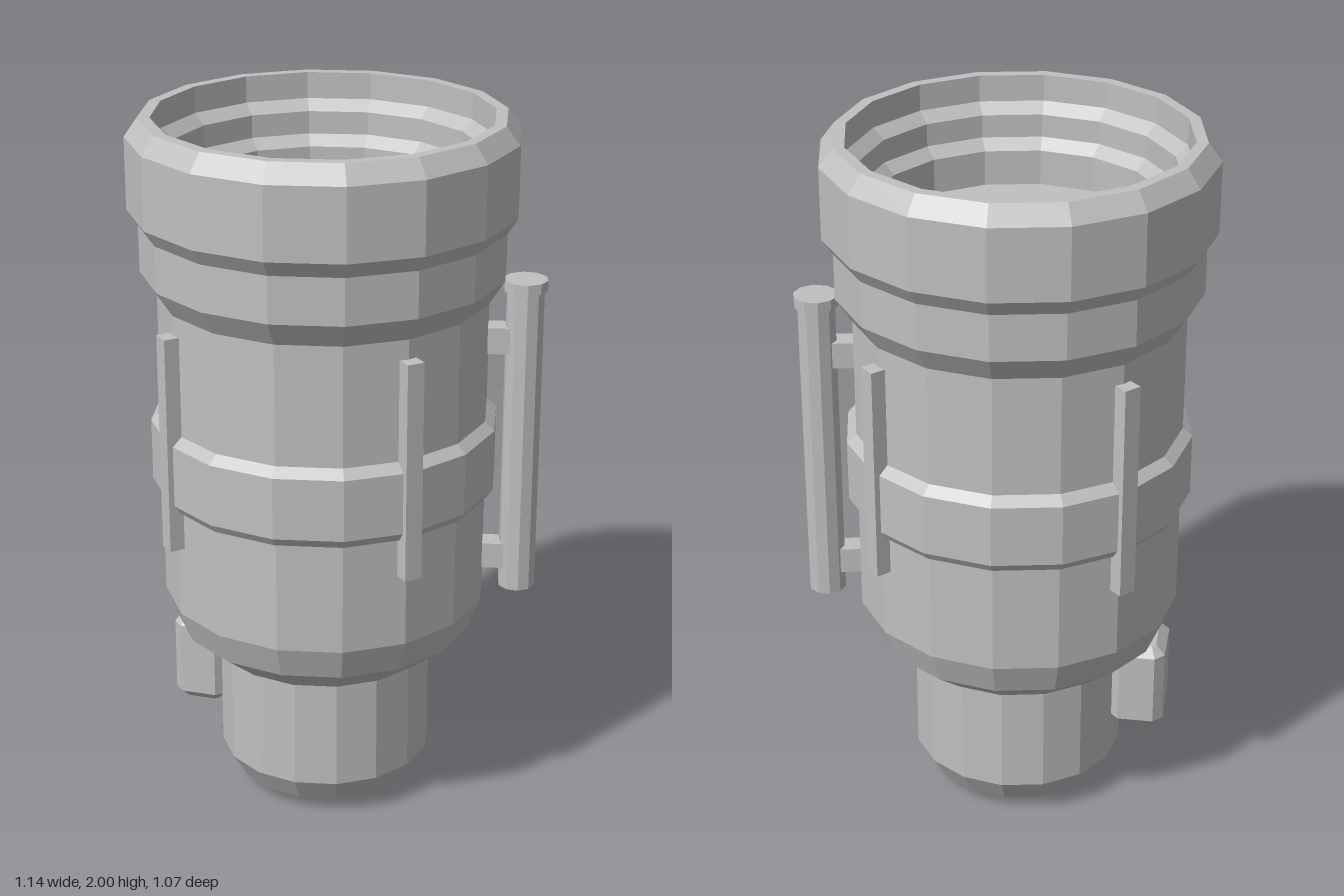
import * as THREE from 'three';

const AXIS_X = -0.035; // the main barrel sits slightly off the overall centre

export function createModel() {
  const grey = new THREE.MeshStandardMaterial({ color: 0xc0c0c0 });
  grey.name = 'grey';
  grey.flatShading = true;

  const model = new THREE.Group();
  model.name = 'model';
  const add = (parent, name, geometry, x = 0, y = 0, z = 0) => {
    const mesh = new THREE.Mesh(geometry, grey);
    mesh.name = name;
    mesh.position.set(x, y, z);
    parent.add(mesh);
    return mesh;
  };
  const lathe = (points) =>
    new THREE.LatheGeometry(points.map(([r, y]) => new THREE.Vector2(r, y)), 16);

  const barrel = new THREE.Group();
  barrel.name = 'barrel';
  barrel.position.x = AXIS_X;
  model.add(barrel);

  // Outer wall, rim and stepped hollow mouth in one profile
  add(barrel, 'body', lathe([
    [0, 0], [0.19, 0.005], [0.26, 0.04], [0.305, 0.115], [0.305, 0.44],
    [0.32, 0.44], [0.425, 0.525], [0.46, 0.62], [0.46, 1.505],
    [0.505, 1.575], [0.505, 1.705], [0.535, 1.75], [0.535, 1.95], [0.497, 2],
    [0.465, 2], [0.465, 1.925], [0.432, 1.895], [0.432, 1.83],
    [0.4, 1.8], [0.4, 1.7], [0, 1.7],
  ]));

  // Raised band round the middle
  add(barrel, 'middleBand', lathe([
    [0.45, 0.94], [0.47, 0.94], [0.487, 0.965], [0.487, 1.14], [0.46, 1.165], [0.45, 1.165],
  ]));

  // Four upright ribs on the diagonals
  for (let i = 0; i < 4; i++) {
    const a = Math.PI / 4 + (i * Math.PI) / 2;
    const rib = add(barrel, 'rib', new THREE.BoxGeometry(0.05, 0.62, 0.07),
      Math.sin(a) * 0.463, 1.14, Math.cos(a) * 0.463);
    rib.rotation.y = a;
  }

  // Capped side tube with two brackets
  const tube = new THREE.Group();
  tube.name = 'sideTube';
  tube.position.set(0.504, 0, -0.113);
  model.add(tube);
  const rod = (r, h) => new THREE.CylinderGeometry(r, r, h, 10).rotateY(Math.PI / 2);
  add(tube, 'tubeRod', rod(0.053, 0.9), 0, 1.08, 0);
  add(tube, 'tubeCap', rod(0.062, 0.03), 0, 1.535, 0);
  for (const y of [0.728, 1.378]) {
    const bracket = add(tube, 'tubeBracket', new THREE.BoxGeometry(0.1, 0.075, 0.065), -0.07, y, 0.014);
    bracket.rotation.y = Math.PI / 16;
  }

  // Bevelled block low on the other side
  const hx = 0.078, hz = 0.1, c = 0.027;
  const outline = new THREE.Shape([
    [hx, -hz + c], [hx, hz - c], [hx - c, hz], [-hx + c, hz],
    [-hx, hz - c], [-hx, -hz + c], [-hx + c, -hz], [hx - c, -hz],
  ].map(([x, y]) => new THREE.Vector2(x, y)));
  const block = new THREE.ExtrudeGeometry(outline, {
    depth: 0.216, bevelEnabled: true, bevelSegments: 1,
    bevelSize: c, bevelThickness: c, bevelOffset: -c,
  }).rotateX(-Math.PI / 2);
  add(model, 'sideBlock', block, -0.397, 0.242, 0);

  return model;
}
